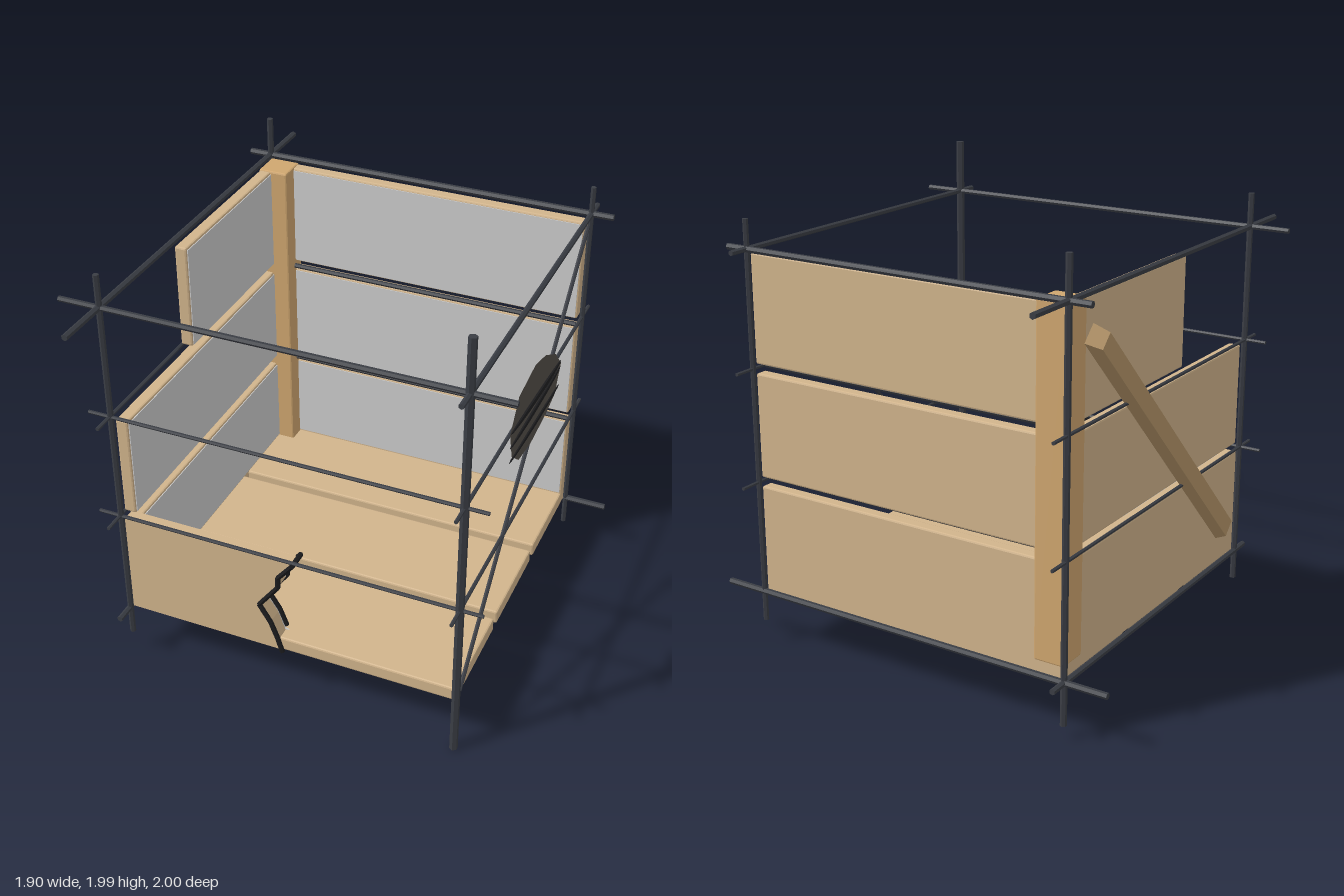
import * as THREE from 'three';
import { RoundedBoxGeometry } from 'three/addons/geometries/RoundedBoxGeometry.js';

const material = (color, side = THREE.FrontSide) =>
  new THREE.MeshStandardMaterial({ color, side, flatShading: true });

export function createModel() {
  const model = new THREE.Group();
  const wood = material(0xd1b48c);
  const postWood = material(0xcfa66f);
  const braceWood = material(0xb6966a);
  const grey = material(0xcccccc);
  const ink = material(0x3a3d44);
  const black = material(0x1c1c1e);
  const smudge = material(0x544e49, THREE.DoubleSide);

  function add(name, geometry, mat) {
    const mesh = new THREE.Mesh(geometry, mat);
    mesh.name = name;
    model.add(mesh);
    return mesh;
  }

  // Plank given by its limits on each axis
  function plank(name, [x0, x1], [y0, y1], [z0, z1], mat = wood, bevel = 0.008) {
    const size = [x1 - x0, y1 - y0, z1 - z0];
    const geometry = bevel
      ? new RoundedBoxGeometry(...size, 1, bevel)
      : new THREE.BoxGeometry(...size);
    return add(name, geometry, mat).position.set((x0 + x1) / 2, (y0 + y1) / 2, (z0 + z1) / 2);
  }

  // Straight rod between two points
  function rod(name, a, b, radius, mat = ink) {
    const from = new THREE.Vector3(...a), to = new THREE.Vector3(...b);
    const dir = to.clone().sub(from);
    const mesh = add(name, new THREE.CylinderGeometry(radius, radius, dir.length(), 6), mat);
    mesh.position.copy(from).add(to).multiplyScalar(0.5);
    mesh.quaternion.setFromUnitVectors(new THREE.Vector3(0, 1, 0), dir.normalize());
    return mesh;
  }

  // Floor boards
  for (const z of [[-0.745, -0.27], [-0.23, 0.23], [0.27, 0.74]]) {
    plank('floorPlank', [-0.745, 0.75], [0.247, 0.31], z);
  }

  // Back and side walls, with pale inner faces; the upper side plank is short
  const rows = [[0.25, 0.73], [0.77, 1.23], [1.27, 1.74]];
  const sideEnds = [0.74, 0.74, 0.18];
  rows.forEach(([y0, y1], i) => {
    const inner = [Math.max(y0, 0.31) + 0.008, y1 - 0.01];
    plank('backPlank', [-0.745, 0.75], [y0, y1], [-0.745, -0.69]);
    plank('backInnerFace', [-0.69, 0.742], inner, [-0.692, -0.686], grey, 0);
    plank('sidePlank', [-0.745, -0.69], [y0, y1], [-0.745, sideEnds[i]]);
    plank('sideInnerFace', [-0.692, -0.686], inner, [-0.69, sideEnds[i] - 0.008], grey, 0);
  });

  // Corner post
  plank('cornerPost', [-0.747, -0.61], [0.3, 1.745], [-0.747, -0.61], postWood);

  // Diagonal brace outside the side wall, chamfered towards its outer face
  const braceGeometry = new THREE.BoxGeometry(0.06, 0.09, 1.69);
  const bp = braceGeometry.attributes.position;
  for (let i = 0; i < bp.count; i++) {
    if (bp.getX(i) < 0) {
      bp.setY(i, bp.getY(i) * 0.85);
      bp.setZ(i, bp.getZ(i) * 0.955);
    }
  }
  braceGeometry.computeVertexNormals();
  const brace = add('diagonalBrace', braceGeometry, braceWood);
  brace.position.set(-0.778, 1, 0);
  brace.rotation.x = Math.PI / 4;

  // Front plank with a broken end
  const breakLine = [
    [0.035, 0.73], [-0.03, 0.65], [-0.03, 0.6], [-0.12, 0.48], [-0.07, 0.4], [-0.04, 0.32], [-0.02, 0.25],
  ];
  function brokenBoard(name, left, bottom, top, z, depth, mat) {
    const edge = breakLine.map(([x, y]) => new THREE.Vector2(x, Math.min(top, Math.max(bottom, y))));
    const shape = new THREE.Shape([
      new THREE.Vector2(left, bottom), ...edge.reverse(), new THREE.Vector2(left, top),
    ]);
    add(name, new THREE.ExtrudeGeometry(shape, { depth, bevelEnabled: false }), mat).position.z = z;
  }
  brokenBoard('brokenFrontPlank', -0.745, 0.25, 0.73, 0.685, 0.06, wood);
  brokenBoard('brokenPlankInnerFace', -0.69, 0.315, 0.722, 0.681, 0.006, grey);

  // Dark outline running round the break
  const outline = [
    ...breakLine.map(([x, y]) => [x, y, 0.757]),
    ...breakLine.slice(0, -1).reverse().map(([x, y]) => [x, y, 0.667]),
  ];
  outline.forEach((p, i) => {
    if (i === breakLine.length - 1) return;
    rod('breakOutline', p, outline[(i + 1) % outline.length], 0.011, black);
  });

  // Upright frame lines
  rod('frontLeftUpright', [0.757, 0, 0.757], [0.757, 1.99, 0.757], 0.018);
  rod('backRightUpright', [-0.755, 0.06, -0.755], [-0.755, 1.93, -0.755], 0.014);
  rod('frontRightUpright', [-0.755, 0.11, 0.755], [-0.755, 1.9, 0.755], 0.013);
  rod('backLeftUpright', [0.757, 0.11, -0.755], [0.757, 1.88, -0.755], 0.012);

  // Horizontal frame lines, overshooting the corners
  const alongX = (y, z, half, r) => rod('crossLine', [-half, y, z], [half, y, z], r);
  const alongZ = (x, y, half, r) => rod('sideLine', [x, y, -half], [x, y, half], r);
  alongX(1.755, 0.755, 0.935, 0.012);
  alongX(1.755, -0.757, 0.855, 0.014);
  alongX(0.246, -0.757, 0.95, 0.014);
  alongZ(-0.757, 1.755, 1, 0.014);
  alongZ(0.757, 1.755, 0.85, 0.012);
  alongZ(-0.757, 0.246, 0.845, 0.013);
  for (const y of [0.75, 1.25]) {
    alongX(y, 0.757, 0.855, 0.008);
    alongZ(0.757, y, 0.855, 0.008);
    alongZ(-0.757, y, 0.855, 0.008);
    rod('backGapLine', [-0.7, y, -0.68], [0.75, y, -0.68], 0.011);
  }
  rod('diagonalLine', [0.757, 0.285, 0.715], [0.757, 1.715, -0.715], 0.009);

  // Flat dark patch on the open side, as (z, y) corners
  const patch = new THREE.Shape([
    [0.33, 1.31], [0.24, 1.435], [0.04, 1.465], [-0.1, 1.43], [-0.25, 1.35], [-0.35, 1.25],
    [-0.29, 1.13], [-0.17, 1.1], [0.03, 1.08], [0.19, 1.1], [0.29, 1.18],
  ].map(([z, y]) => new THREE.Vector2(-z, y)));
  const patchMesh = add('darkPatch', new THREE.ShapeGeometry(patch), smudge);
  patchMesh.rotation.y = Math.PI / 2;
  patchMesh.position.x = 0.785;

  // Tapered strokes across the patch
  for (const [y0, y1, r] of [[1.31, 1.27, 0.013], [1.24, 1.24, 0.011], [1.17, 1.15, 0.009]]) {
    const stroke = add('patchStroke', new THREE.SphereGeometry(1, 6, 8), black);
    stroke.scale.set(r, 0.335, r);
    stroke.position.set(0.787, (y0 + y1) / 2, -0.005);
    stroke.rotation.x = Math.PI / 2 - Math.atan2(y0 - y1, 0.67);
  }

  return model;
}
